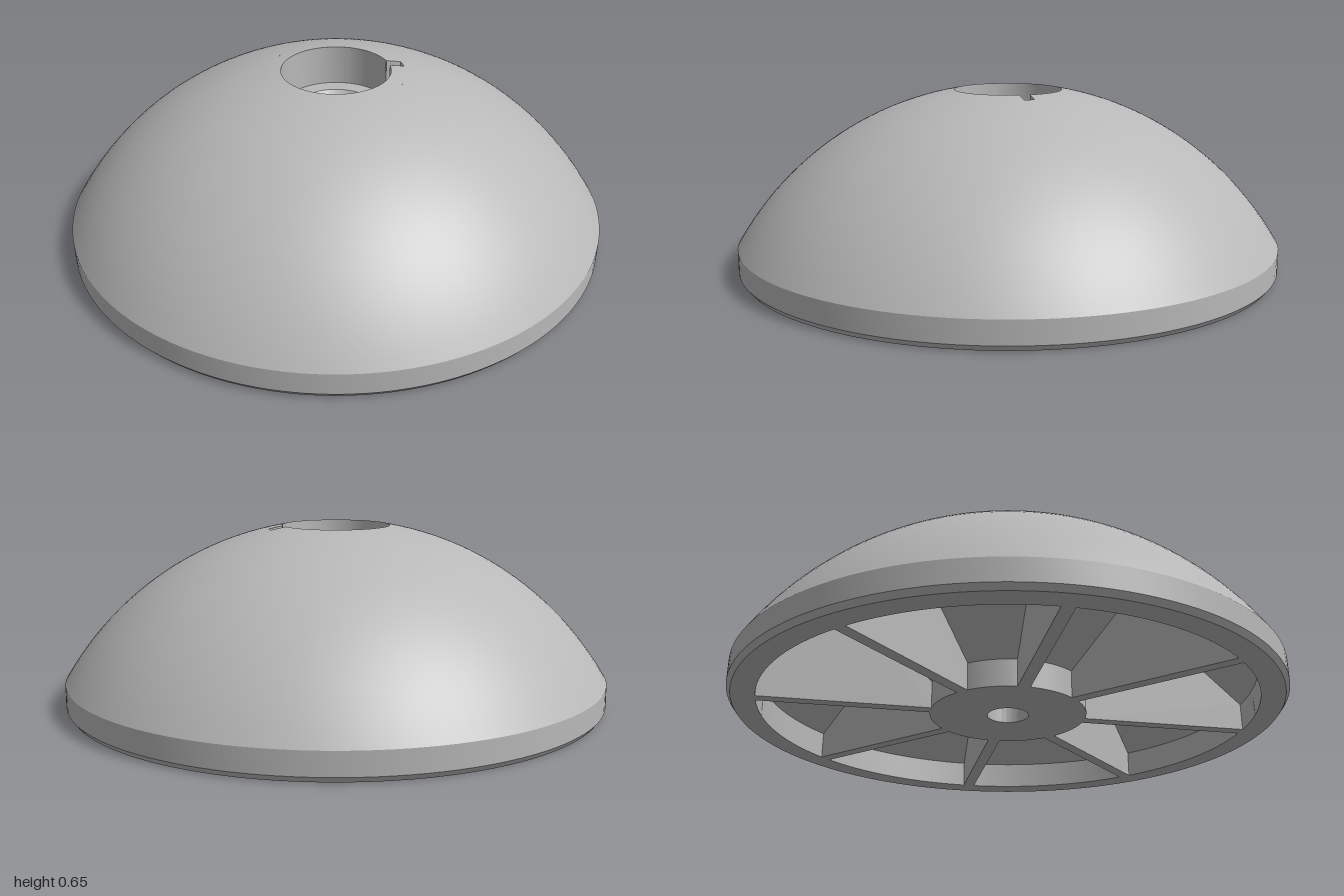
import * as THREE from 'three';
import { toCreasedNormals } from 'three/addons/utils/BufferGeometryUtils.js';

const SEG = 128;
const SLOT = { inner: 0.145, outer: 0.255, half: 0.02, floor: 0.45 };
const BORE = { r: 0.2, top: 0.65, floor: 0.5 };

// Spherical cap height at radius r
const domeY = (r) => Math.sqrt(1.357 - r * r) - 0.498;
const vec = ([x, y]) => new THREE.Vector2(x, y);

function domePoints(from, to, steps) {
  const pts = [];
  for (let i = 0; i <= steps; i++) {
    const r = from + (to - from) * (i / steps);
    pts.push([r, domeY(r)]);
  }
  return pts;
}

export function createModel() {
  const group = new THREE.Group();
  const grey = new THREE.MeshStandardMaterial({ color: 0xb8b8b8, side: THREE.DoubleSide });
  grey.name = 'grey';
  const add = (name, geometry, parent = group) => {
    const mesh = new THREE.Mesh(geometry, grey);
    mesh.name = name;
    parent.add(mesh);
    return mesh;
  };

  // Dome, rim, hollow underside, hub and countersunk through hole
  const bodyProfile = [
    [SLOT.inner, BORE.floor], [0.14, BORE.floor], [0.075, 0.41], [0.075, 0],
    [0.285, 0], [0.285, 0.1], [0.59, 0.385], [0.9, 0.1], [0.9, 0],
    [0.985, 0], [1, 0.02], [1, 0.1],
    ...domePoints(1, SLOT.outer, 28).slice(1),
  ];
  add('domeBody', toCreasedNormals(new THREE.LatheGeometry(bodyProfile.map(vec), SEG), 0.4));

  // Bore collar, left open where the key slot passes through it
  const collarProfile = [
    ...domePoints(SLOT.outer, BORE.r, 3), [BORE.r, BORE.floor], [SLOT.inner, BORE.floor],
  ];
  const collar = new THREE.LatheGeometry(collarProfile.map(vec), SEG);
  const pos = collar.attributes.position;
  const rows = collarProfile.length;
  for (let i = 0; i < pos.count; i++) {
    const [r, y] = collarProfile[i % rows];
    const gap = Math.asin(SLOT.half / r);
    const a = gap + (2 * Math.PI - 2 * gap) * (Math.floor(i / rows) / SEG);
    pos.setXYZ(i, r * Math.cos(a), y, -r * Math.sin(a));
  }
  add('boreCollar', toCreasedNormals(collar, 0.4));

  // Key slot walls and floor
  const slot = new THREE.Group();
  slot.name = 'keySlot';
  group.add(slot);
  const sideShape = new THREE.Shape([
    [SLOT.inner, SLOT.floor], [SLOT.outer, SLOT.floor], [SLOT.outer, domeY(SLOT.outer)],
    [BORE.r, BORE.top], [BORE.r, BORE.floor], [SLOT.inner, BORE.floor],
  ].map(vec));
  for (const s of [-1, 1]) {
    const side = add('slotSide', new THREE.ShapeGeometry(sideShape), slot);
    side.position.z = s * SLOT.half;
  }
  const slotWall = (name, x, top, turn) => {
    const h = top - SLOT.floor;
    const wall = add(name, new THREE.PlaneGeometry(SLOT.half * 2, h), slot);
    wall.rotation.y = turn * Math.PI / 2;
    wall.position.set(x, SLOT.floor + h / 2, 0);
  };
  slotWall('slotEnd', SLOT.outer, domeY(SLOT.outer), -1);
  slotWall('slotStep', SLOT.inner, BORE.floor, 1);
  const floor = add('slotFloor',
    new THREE.PlaneGeometry(SLOT.outer - SLOT.inner, SLOT.half * 2), slot);
  floor.rotation.x = -Math.PI / 2;
  floor.position.set((SLOT.inner + SLOT.outer) / 2, SLOT.floor, 0);

  // Eight radial ribs under the dome
  const ribShape = new THREE.Shape([
    [0.28, 0], [0.905, 0], [0.905, 0.105], [0.59, 0.395], [0.28, 0.105],
  ].map(vec));
  const ribWidth = 0.045;
  const ribGeometry = new THREE.ExtrudeGeometry(ribShape, { depth: ribWidth, bevelEnabled: false });
  ribGeometry.translate(0, 0, -ribWidth / 2);
  for (let i = 0; i < 8; i++) {
    add('rib', ribGeometry).rotation.y = (i * Math.PI) / 4;
  }

  return group;
}
